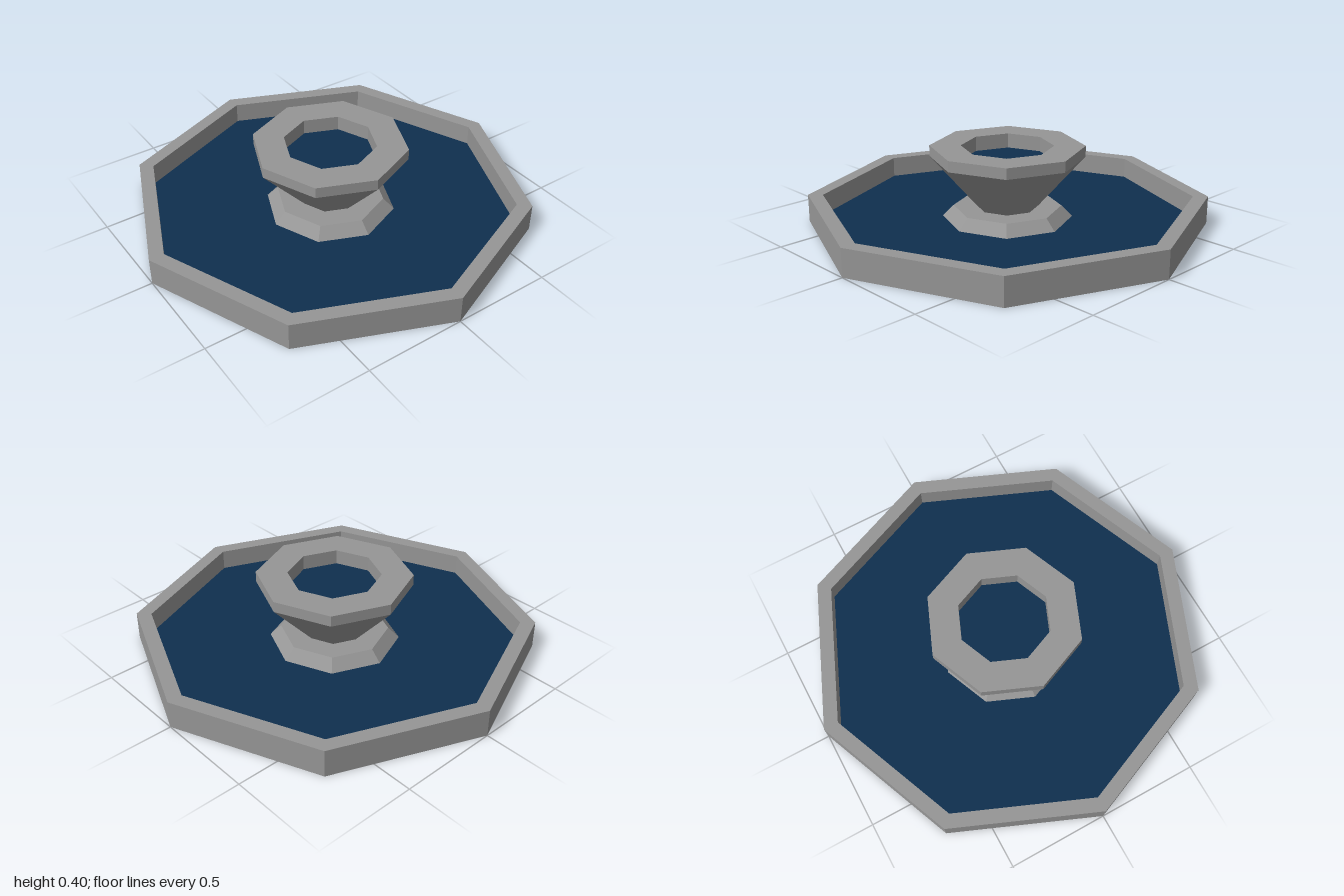
import * as THREE from 'three';

const SIDES = 8;

export function createModel() {
  const model = new THREE.Group();
  model.name = 'fountain';

  const material = (name, color) => {
    const m = new THREE.MeshStandardMaterial({ color, flatShading: true });
    m.name = name;
    return m;
  };
  const stone = material('stone', 0x969696);
  const water = material('water', 0x0f2f4f);
  const dark = material('darkUnderside', 0x080808);

  const add = (name, geometry, mat, y = 0) => {
    const mesh = new THREE.Mesh(geometry, mat);
    mesh.name = name;
    mesh.position.y = y;
    model.add(mesh);
    return mesh;
  };
  const lathe = (profile) =>
    new THREE.LatheGeometry(profile.map(([r, y]) => new THREE.Vector2(r, y)), SIDES);
  const disc = (r, up) =>
    new THREE.CircleGeometry(r, SIDES).rotateX(up ? -Math.PI / 2 : Math.PI / 2);

  // Basin wall: underside lip, outer face, top edge, inner face
  add('basinWall', lathe([[0.985, 0], [1, 0], [1, 0.14], [0.925, 0.14], [0.925, 0.03]]), stone);
  add('basinWater', disc(0.925, true), water, 0.035);

  // Pedestal: sloped foot, flared bowl, upright rim and hollow
  add('foot', lathe([[0.33, 0.03], [0.27, 0.09], [0.14, 0.09]]), stone);
  add('bowl', lathe([
    [0.155, 0.09], [0.385, 0.345], [0.385, 0.4], [0.23, 0.4], [0.23, 0.32],
  ]), stone);
  add('bowlWater', disc(0.23, true), water, 0.325);

  // Underside: dark floor with a web of thin stone ribs
  add('basinFloor', disc(0.987, false), dark, 0.004);
  for (const r of [0.33, 0.66]) {
    const ring = new THREE.RingGeometry(r - 0.014, r + 0.014, SIDES).rotateX(Math.PI / 2);
    add('floorRing', ring, stone, 0.001);
  }
  for (let i = 0; i < SIDES / 2; i++) {
    const rib = add('floorRib', new THREE.BoxGeometry(1.96, 0.003, 0.026), stone, 0.002);
    rib.rotation.y = (i * Math.PI * 2) / SIDES;
  }
  add('floorHub', disc(0.055, false), stone, 0.0003);

  return model;
}
